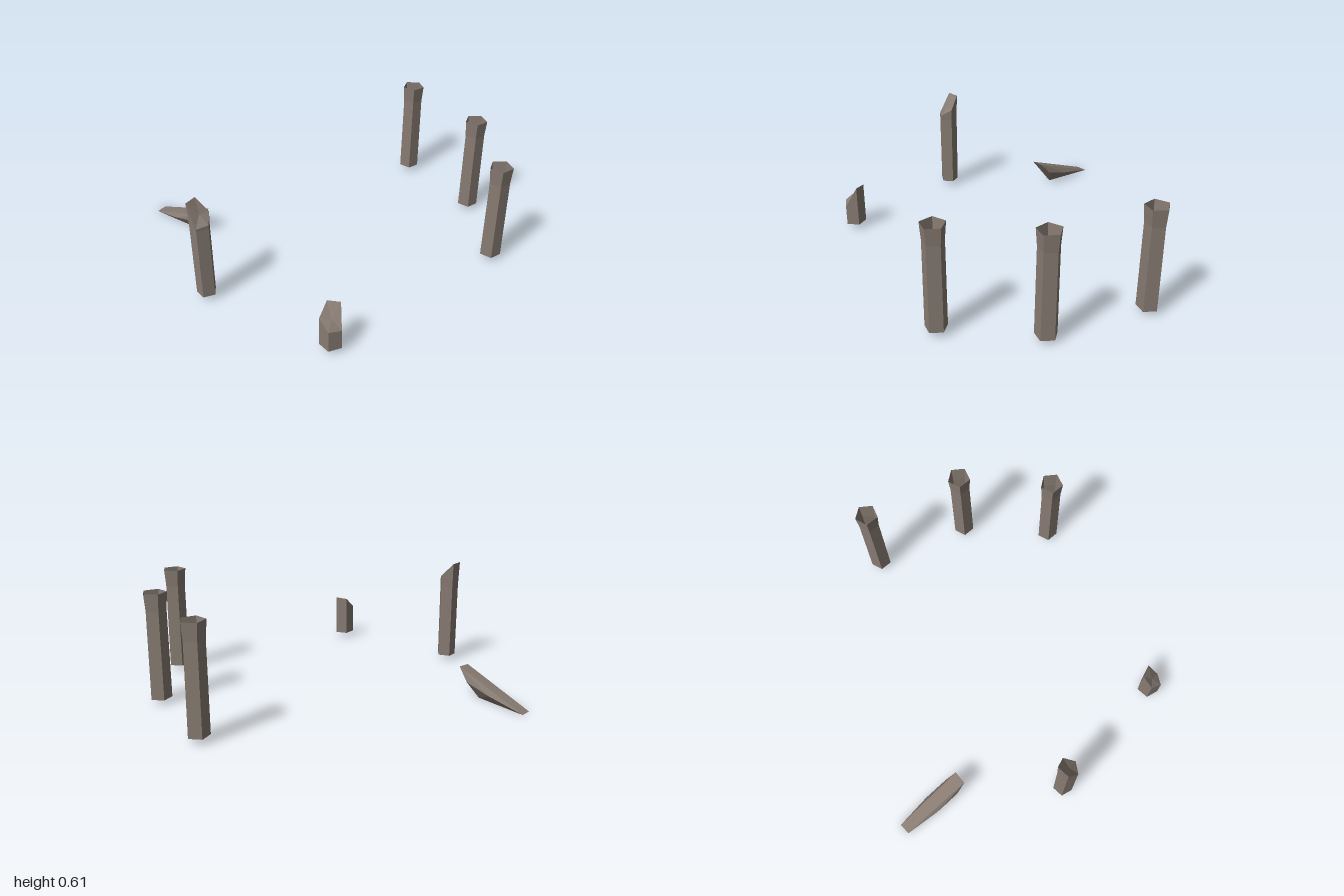
import * as THREE from 'three';
import { ConvexGeometry } from 'three/addons/geometries/ConvexGeometry.js';

const SIDES = 5;

// Five-sided shaft from rings of [height, radius] per corner; optional centre height closes the top.
function shaftGeometry(startDeg, rings, capHeight) {
  const point = (ring, i) => {
    const a = THREE.MathUtils.degToRad(startDeg + (i % SIDES) * 72);
    const [y, r] = ring[i % SIDES];
    return [Math.cos(a) * r, y, Math.sin(a) * r];
  };
  const pos = [];
  for (let k = 0; k < rings.length - 1; k++) {
    for (let i = 0; i < SIDES; i++) {
      const a = point(rings[k], i), b = point(rings[k + 1], i);
      const c = point(rings[k + 1], i + 1), d = point(rings[k], i + 1);
      pos.push(...a, ...b, ...c, ...a, ...c, ...d);
    }
  }
  if (capHeight !== undefined) {
    const top = rings[rings.length - 1];
    for (let i = 0; i < SIDES; i++) pos.push(0, capHeight, 0, ...point(top, i + 1), ...point(top, i));
  }
  const geo = new THREE.BufferGeometry();
  geo.setAttribute('position', new THREE.Float32BufferAttribute(pos, 3));
  geo.computeVertexNormals();
  return geo;
}

const level = (y, r) => Array.from({ length: SIDES }, () => [y, r]);

export function createModel() {
  const group = new THREE.Group();
  const stone = new THREE.MeshStandardMaterial({ color: 0x877b72, flatShading: true, side: THREE.DoubleSide });
  stone.name = 'weathered stone';

  const add = (name, geo, x = 0, z = 0) => {
    const mesh = new THREE.Mesh(geo, stone);
    mesh.name = name;
    mesh.position.set(x, 0, z);
    group.add(mesh);
  };

  // Whole hollow columns with flared tops
  [[0.675, -0.825, 0.03], [0.932, -0.317, 0.025], [0.908, 0.214, 0.03]].forEach(([x, z, base], i) => {
    const geo = shaftGeometry(100, [level(base, 0.06), level(0.51, 0.058), level(0.605, 0.066)]);
    add('wholeColumn' + (i + 1), geo, x, z);
  });

  // Tall column with its top sheared off
  const tallTop = [[0.605, 0.062], [0.605, 0.061], [0.53, 0.06], [0.49, 0.058], [0.48, 0.058]];
  add('tallBrokenColumn', shaftGeometry(185, [level(0.03, 0.055), level(0.465, 0.056), tallTop], 0.535), -0.715, 0.322);

  // Short stump with a slanted break
  const stumpTop = [0.2, 0.265, 0.27, 0.145, 0.155].map((y) => [y, 0.061]);
  add('brokenStump', shaftGeometry(185, [level(0.03, 0.061), stumpTop], 0.19), -0.112, 0.822);

  // Fallen shard: sloping top, shoulders, then keel
  const shard = [
    [-0.735, 0.155, -0.23], [-0.68, 0.16, -0.28], [-1, 0, -0.54], [-0.955, 0, -0.585],
    [-0.785, 0.09, -0.27], [-0.71, 0.09, -0.338], [-0.885, 0.05, -0.38], [-0.806, 0.05, -0.447],
    [-0.78, 0, -0.34], [-0.9, 0, -0.47],
  ].map((p) => new THREE.Vector3(...p));
  add('fallenShard', new ConvexGeometry(shard));

  return group;
}
